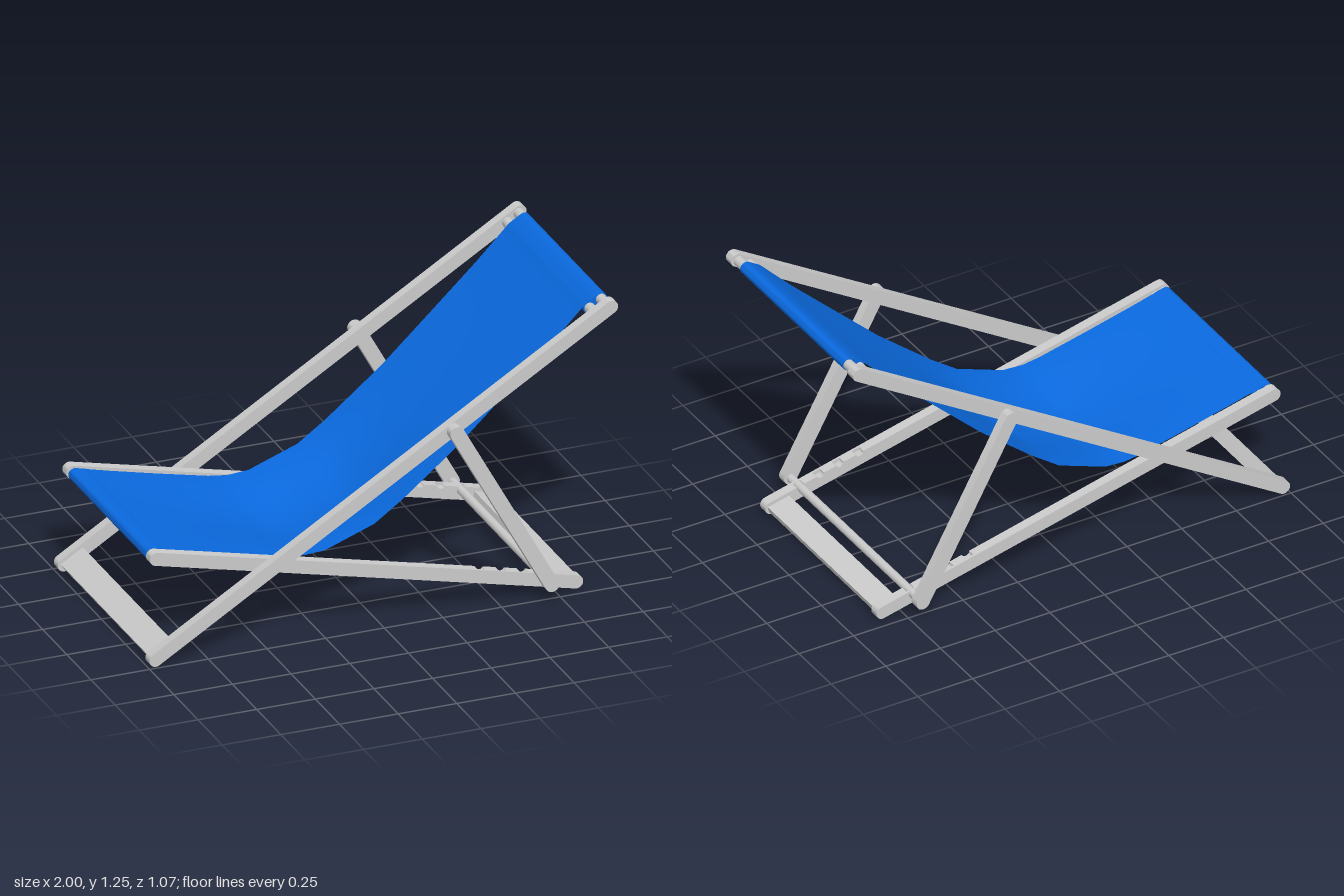
import * as THREE from 'three';
import { toCreasedNormals } from 'three/addons/utils/BufferGeometryUtils.js';

const wood = new THREE.MeshStandardMaterial({ color: 0xcccccc });
const cloth = new THREE.MeshStandardMaterial({ color: 0x0a6ae0, side: THREE.DoubleSide });

// Key points in the side plane (x, y)
const FOOT = [-0.971, 0.037], HEAD = [0.971, 1.226];
const SEAT_FRONT = [-0.952, 0.456], SEAT_REAR = [0.839, 0.033];
const PROP_TOP = [0.298, 0.812], PROP_BASE = [0.702, 0.08];

// Bar with round ends from a to b, extruded from z0 to z1;
// notches are distances along the bar where its upper edge is scooped out
function bar(name, a, b, r, z0, z1, material = wood, notches = []) {
  const dx = b[0] - a[0], dy = b[1] - a[1], len = Math.hypot(dx, dy);
  const s = new THREE.Shape();
  s.moveTo(0, -r);
  s.lineTo(len, -r);
  s.absarc(len, 0, r, -Math.PI / 2, Math.PI / 2, false);
  for (const n of [...notches].sort((p, q) => q - p)) {
    s.lineTo(n + 0.018, r);
    s.absellipse(n, r, 0.018, 0.014, 0, -Math.PI, true);
  }
  s.lineTo(0, r);
  s.absarc(0, 0, r, Math.PI / 2, Math.PI * 1.5, false);
  const g = new THREE.ExtrudeGeometry(s, { depth: z1 - z0, bevelEnabled: false, curveSegments: 10 });
  const mesh = new THREE.Mesh(toCreasedNormals(g, 0.6), material);
  mesh.name = name;
  mesh.position.set(a[0], a[1], z0);
  mesh.rotation.z = Math.atan2(dy, dx);
  return mesh;
}

// Round rod running across the chair
function dowel(name, [x, y], r, half) {
  const mesh = new THREE.Mesh(new THREE.CylinderGeometry(r, r, half * 2, 16), wood);
  mesh.name = name;
  mesh.rotation.x = Math.PI / 2;
  mesh.position.set(x, y, 0);
  return mesh;
}

// Flat board across the chair, lying along the direction a -> b
function board(name, a, b, start, width, half) {
  const ang = Math.atan2(b[1] - a[1], b[0] - a[0]), d = start + width / 2;
  const mesh = new THREE.Mesh(new THREE.BoxGeometry(width, 0.024, half * 2), wood);
  mesh.name = name;
  mesh.rotation.z = ang;
  mesh.position.set(a[0] + Math.cos(ang) * d, a[1] + Math.sin(ang) * d, 0);
  return mesh;
}

// Sling cloth: rows of [x, edge height, sag at the middle]
function sling() {
  const rows = [
    [-0.955, 0.481, 0], [-0.8, 0.441, 0.003], [-0.6, 0.393, 0.012], [-0.38, 0.343, 0.03],
    [-0.3, 0.332, 0.038], [-0.21, 0.338, 0.036], [0, 0.415, 0.045], [0.12, 0.5, 0.042],
    [0.24, 0.597, 0.025], [0.36, 0.695, 0.01], [0.56, 0.882, 0.002], [0.76, 1.07, 0], [0.898, 1.21, 0],
  ];
  const g = new THREE.PlaneGeometry(1, 0.796, rows.length - 1, 16);
  const p = g.attributes.position;
  for (let i = 0; i < p.count; i++) {
    const [x, y, sag] = rows[i % rows.length];
    const z = -p.getY(i);
    p.setXYZ(i, x, y - sag * 0.5 * (1 + Math.cos(Math.PI * z / 0.398)), z);
  }
  g.computeVertexNormals();
  const mesh = new THREE.Mesh(g, cloth);
  mesh.name = 'slingCloth';
  return mesh;
}

export function createModel() {
  const chair = new THREE.Group();
  chair.name = 'deckChair';

  // Side frames, mirrored left and right
  for (const side of [1, -1]) {
    const label = side > 0 ? 'Left' : 'Right';
    const add = (name, a, b, r, z0, z1, notches) => chair.add(
      bar(name + label, a, b, r, side > 0 ? z0 : -z1, side > 0 ? z1 : -z0, wood, notches));
    add('backRail', FOOT, HEAD, 0.028, 0.453, 0.495);
    add('propLeg', PROP_TOP, PROP_BASE, 0.03, 0.495, 0.535);
    // Seat rail: plain outer face, notched inner part for the prop positions
    const notches = [0.43, 0.52, 0.61, 0.7].map((x) => (x - SEAT_FRONT[0]) * 1.028);
    add('seatRailOuter', SEAT_FRONT, SEAT_REAR, 0.028, 0.443, 0.453);
    add('seatRailNotched', SEAT_FRONT, SEAT_REAR, 0.028, 0.411, 0.443, notches);
  }

  // Rods and boards that tie the sides together
  const headRods = [[0.965, 1.222], [0.916, 1.192]];
  const seatRods = [[-0.952, 0.455], [-0.914, 0.446]];
  headRods.forEach((p, i) => chair.add(dowel('headRod' + (i + 1), p, 0.022, 0.455)));
  seatRods.forEach((p, i) => chair.add(dowel('seatRod' + (i + 1), p, 0.02, 0.413)));
  chair.add(dowel('propRod', PROP_BASE, 0.018, 0.497));
  chair.add(board('footBoard', FOOT, HEAD, -0.01, 0.11, 0.455));
  chair.add(board('rearBoard', SEAT_REAR, SEAT_FRONT, -0.015, 0.1, 0.413));

  // Cloth and its hems wrapped round the rods
  chair.add(sling());
  chair.add(bar('headHem', headRods[1], headRods[0], 0.026, -0.398, 0.398, cloth));
  chair.add(bar('seatHem', seatRods[0], seatRods[1], 0.025, -0.398, 0.398, cloth));
  return chair;
}
